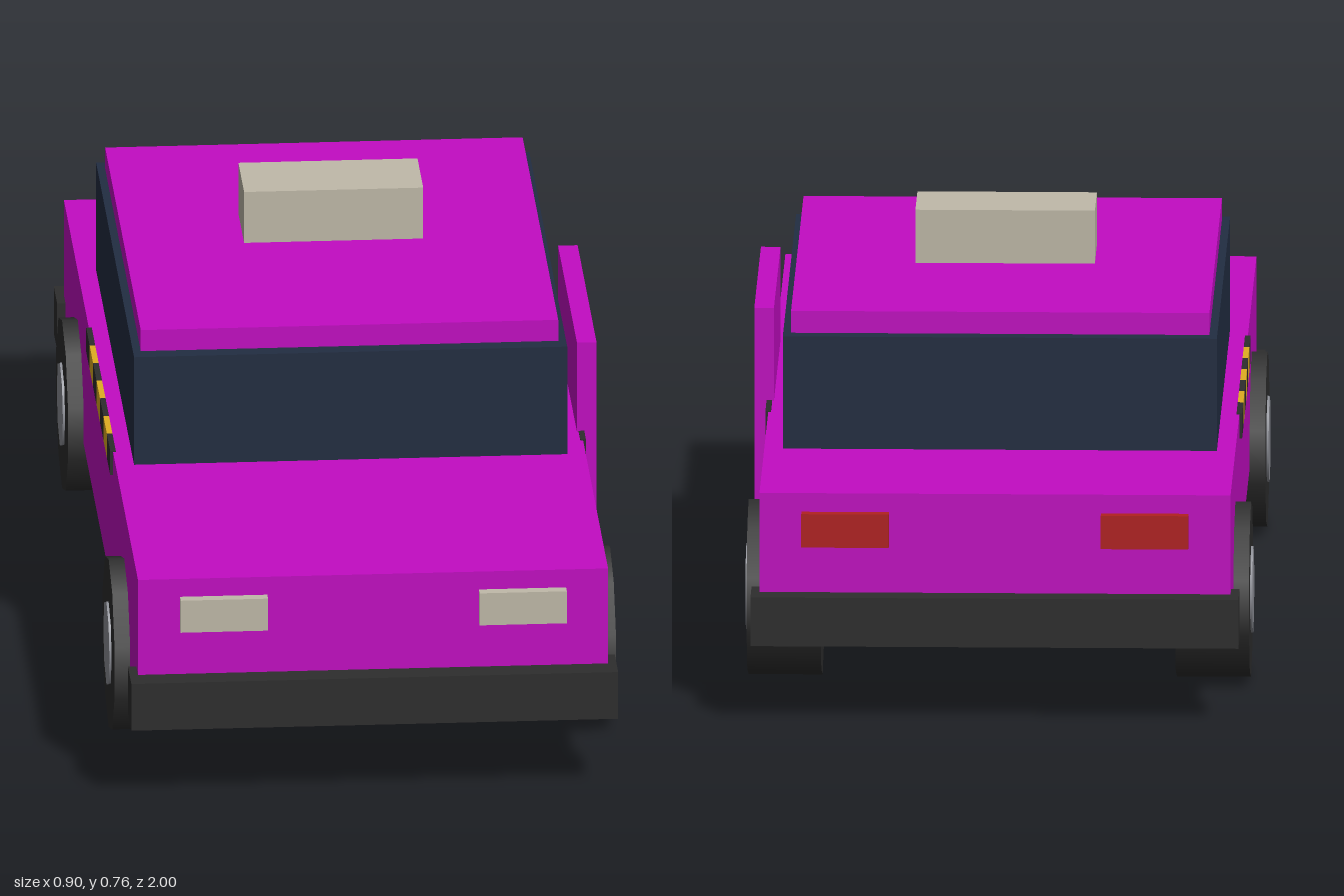
import * as THREE from 'three';

const mat = (name, color) => {
  const m = new THREE.MeshStandardMaterial({ color });
  m.name = name;
  return m;
};

export function createModel() {
  const car = new THREE.Group();
  car.name = 'car';
  const paint = mat('magenta paint', 0xc20cc2);
  const glass = mat('dark glass', 0x222d42);
  const black = mat('black rubber', 0x2d2d2d);
  const cream = mat('cream lamp', 0xc0baa9);
  const red = mat('red lamp', 0xb22020);
  const yellow = mat('yellow check', 0xe0ae22);
  const steel = mat('grey hub', 0x8e9098);

  // Box given by its minimum and maximum corners
  function box(name, material, [x0, y0, z0], [x1, y1, z1]) {
    const mesh = new THREE.Mesh(new THREE.BoxGeometry(x1 - x0, y1 - y0, z1 - z0), material);
    mesh.position.set((x0 + x1) / 2, (y0 + y1) / 2, (z0 + z1) / 2);
    mesh.name = name;
    car.add(mesh);
  }

  // Body, cabin and roof
  box('body', paint, [-0.42, 0.133, -0.955], [0.42, 0.405, 0.955]);
  box('cabin', glass, [-0.387, 0.405, -0.6], [0.387, 0.61, 0.378]);
  box('roof', paint, [-0.373, 0.61, -0.57], [0.373, 0.65, 0.348]);
  box('roofSign', cream, [-0.16, 0.656, -0.207], [0.16, 0.753, -0.06]);

  // Door panel on the left side only
  box('door', paint, [0.412, 0.165, -0.22], [0.447, 0.575, 0.268]);

  // Bumpers
  box('frontBumper', black, [-0.435, 0.135, 0.912], [0.435, 0.224, 1]);
  box('rearBumper', black, [-0.435, 0.135, -1], [0.435, 0.224, -0.912]);

  // Lamps, checker strips and wheels on both sides
  const tyreGeo = new THREE.CylinderGeometry(0.16, 0.16, 0.132, 10).rotateZ(Math.PI / 2);
  const hubGeo = new THREE.CylinderGeometry(0.079, 0.079, 0.14, 8).rotateZ(Math.PI / 2);
  // Turn the tyre so that it rests on a flat facet
  tyreGeo.rotateX(Math.PI / 2);

  for (const s of [-1, 1]) {
    const x = s * 0.267;
    box('headlight', cream, [x - 0.078, 0.31, 0.95], [x + 0.078, 0.371, 0.975]);
    box('tailLight', red, [x - 0.078, 0.31, -0.975], [x + 0.078, 0.371, -0.95]);

    const count = 7, length = 0.62 / count;
    for (let i = 0; i < count; i++) {
      const z = -0.308 + i * length, c = s * 0.42;
      box('checkSquare', i % 2 ? yellow : black,
        [c - 0.005, 0.361, z], [c + 0.005, 0.407, z + length]);
    }

    for (const z of [-0.598, 0.602]) {
      const wheel = new THREE.Group();
      wheel.name = 'wheel';
      const tyre = new THREE.Mesh(tyreGeo, black);
      tyre.name = 'tyre';
      const hub = new THREE.Mesh(hubGeo, steel);
      hub.name = 'hub';
      wheel.add(tyre, hub);
      wheel.position.set(s * 0.382, 0.152, z);
      car.add(wheel);
    }
  }
  return car;
}
